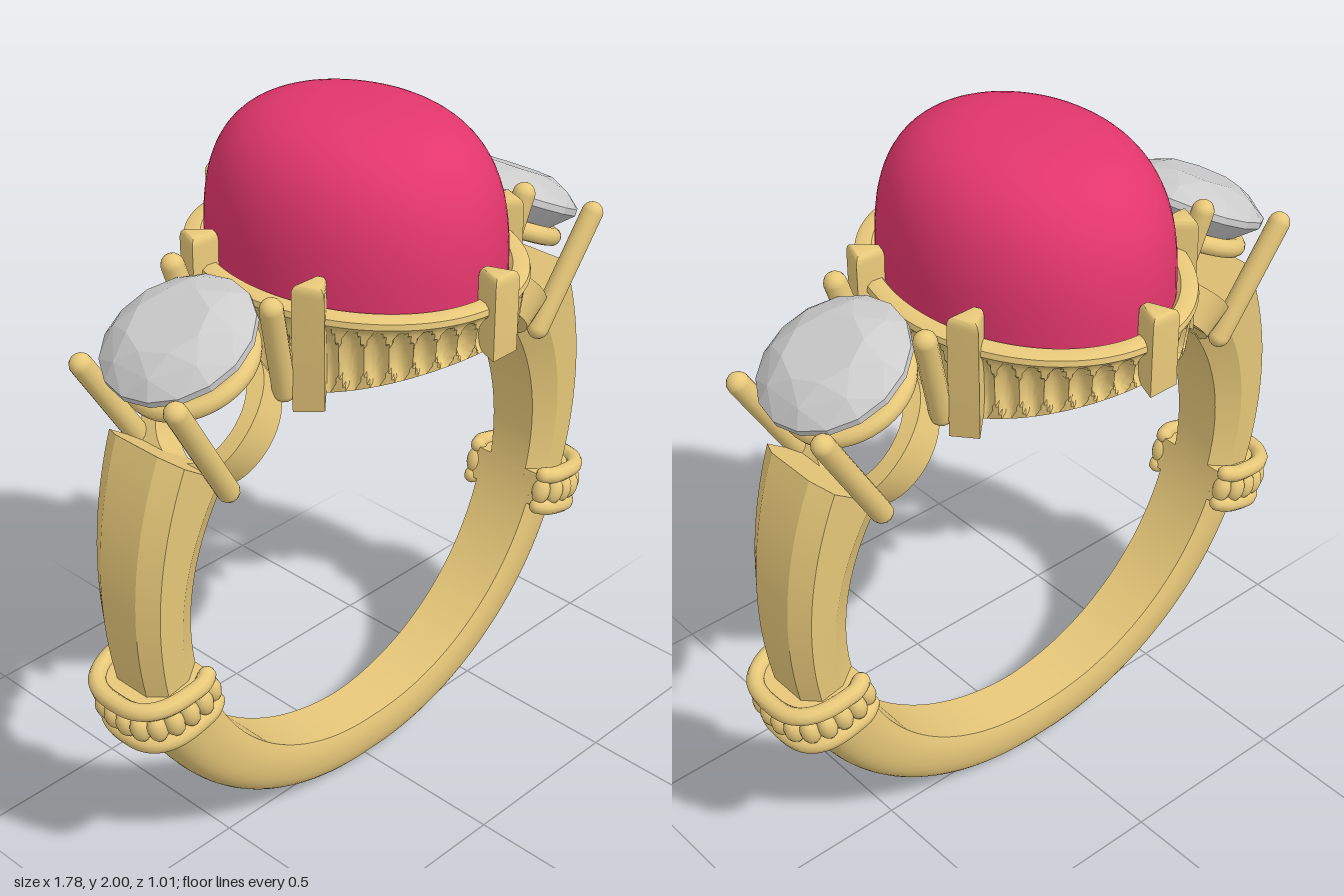
import * as THREE from 'three';
import { toCreasedNormals } from 'three/addons/utils/BufferGeometryUtils.js';
import { ConvexGeometry } from 'three/addons/geometries/ConvexGeometry.js';

const gold = new THREE.MeshStandardMaterial({ color: 0xe8c97a });
const pink = new THREE.MeshStandardMaterial({ color: 0xe2366c });
const grey = new THREE.MeshStandardMaterial({ color: 0xcccccc });
const V = (x, y, z) => new THREE.Vector3(x, y, z);
const rad = THREE.MathUtils.degToRad;

// Finger hole: radius FR around (0, CY), running along z
const CY = 0.82, FR = 0.665;
const polar = (r, deg, z) => V(r * Math.cos(rad(deg)), CY + r * Math.sin(rad(deg)), z);
const holeTop = x => CY + Math.sqrt(FR * FR - Math.min(x * x, 0.3));

function add(parent, name, geo, mat = gold) {
  const m = new THREE.Mesh(geo, mat);
  m.name = name;
  parent.add(m);
  return m;
}

// Skin a list of closed cross-sections, optionally capping both ends
function loft(rings, capped, crease) {
  const n = rings[0].length, pos = [], idx = [];
  rings.forEach(ring => ring.forEach(p => pos.push(p.x, p.y, p.z)));
  for (let i = 0; i < rings.length - 1; i++) {
    for (let j = 0; j < n; j++) {
      const k = (j + 1) % n, a = i * n + j, b = a + n, c = (i + 1) * n + k, d = i * n + k;
      idx.push(a, b, c, a, c, d);
    }
  }
  if (capped) {
    const e = (rings.length - 1) * n;
    for (let j = 1; j < n - 1; j++) idx.push(0, j, j + 1, e, e + j + 1, e + j);
  }
  const g = new THREE.BufferGeometry();
  g.setAttribute('position', new THREE.Float32BufferAttribute(pos, 3));
  g.setIndex(idx);
  return toCreasedNormals(g, crease);
}

// Sweep a changing [r, z] section around the finger hole
function sweep(section, a0, a1, steps, crease) {
  const rings = [];
  for (let i = 0; i <= steps; i++) {
    const t = i / steps;
    rings.push(section(t).map(([r, z]) => polar(r, a0 + (a1 - a0) * t, z)));
  }
  return loft(rings, true, crease);
}

// Rounded outer outline of a band section, from -z round to +z
function outline(hw, rOut, rIn = FR) {
  const pts = [[rIn, -hw * 0.9]];
  for (let k = 0; k <= 20; k++) {
    const f = (k / 20 - 0.5) * Math.PI, s = Math.sin(f);
    pts.push([rIn + 0.03 + (rOut - rIn - 0.03) * Math.pow(Math.max(0, Math.cos(f)), 0.7),
      hw * Math.sign(s) * Math.pow(Math.abs(s), 0.75)]);
  }
  pts.push([rIn, hw * 0.9]);
  return pts;
}

// Straight round-ended bar between two points
function bar(parent, name, a, b, r) {
  const m = add(parent, name, new THREE.CapsuleGeometry(r, a.distanceTo(b), 5, 12));
  m.position.copy(a).add(b).multiplyScalar(0.5);
  m.quaternion.setFromUnitVectors(V(0, 1, 0), b.clone().sub(a).normalize());
}

function faceted() {
  const pts = [];
  const ring = (n, r, y, turn = 0) => {
    for (let i = 0; i < n; i++) {
      const a = (i + turn) / n * Math.PI * 2;
      pts.push(V(r * Math.cos(a), y, r * Math.sin(a)));
    }
  };
  ring(8, 0.105, 0.066);
  ring(8, 0.16, 0.042, 0.5);
  ring(16, 0.2, 0.006);
  ring(16, 0.2, -0.012);
  ring(8, 0.12, -0.085, 0.5);
  ring(8, 0.02, -0.17);
  return new ConvexGeometry(pts);
}

// Beaded collar wrapping the outside of the band
function collar() {
  const g = new THREE.Group(), mid = -15.5;
  g.name = 'collar';
  add(g, 'collarCore', sweep(() => outline(0.14, 0.88), mid - 4.2, mid + 4.2, 4, 0.6));
  const path = a => new THREE.CatmullRomCurve3(outline(0.14, 0.885, 0.68).map(([r, z]) => polar(r, a, z)));
  for (const s of [-1, 1]) {
    const curve = path(mid + s * 4.1);
    add(g, 'collarRim', new THREE.TubeGeometry(curve, 60, 0.024, 10));
    for (const t of [0, 1]) {
      add(g, 'rimEnd', new THREE.SphereGeometry(0.024, 10, 8)).position.copy(curve.getPoint(t));
    }
  }
  for (const p of path(mid).getSpacedPoints(13)) {
    const bead = add(g, 'bead', new THREE.SphereGeometry(0.027, 12, 10));
    bead.position.copy(p);
    bead.scale.y = 1.55;
    bead.rotation.z = rad(mid);
  }
  return g;
}

// One shoulder: faceted shank, collar and side stone in its setting
function shoulder() {
  const g = new THREE.Group();
  add(g, 'shank', sweep(t => {
    const hw = 0.1 + 0.036 * t, R = 0.825 + 0.085 * t * t, c = FR + 0.055 + 0.02 * t;
    return [[FR, -hw * 0.65], [c, -hw], [R - 0.035, -hw], [R, -hw * 0.55],
      [R, hw * 0.55], [R - 0.035, hw], [c, hw], [FR, hw * 0.65]];
  }, -14, 35, 24, 0.3));
  g.add(collar());

  // Base ring, bent to follow the finger hole
  const base = new THREE.LatheGeometry(
    [[0.125, 0], [0.17, 0], [0.17, 0.1], [0.125, 0.1], [0.125, 0]].map(p => new THREE.Vector2(...p)), 48);
  const p = base.attributes.position;
  for (let i = 0; i < p.count; i++) {
    const v = polar(FR + 0.003 + p.getY(i), 45 - p.getX(i) / 0.67 * 180 / Math.PI, p.getZ(i));
    p.setXYZ(i, v.x, v.y, v.z);
  }
  add(g, 'settingBase', toCreasedNormals(base, 0.6));

  const head = new THREE.Group();
  head.name = 'sideStoneHead';
  head.position.set(0.6, 1.575, 0);
  head.rotation.z = rad(-26);
  add(head, 'sideStone', faceted(), grey);
  const gallery = add(head, 'galleryRing', new THREE.TorusGeometry(0.155, 0.025, 12, 48));
  gallery.rotation.x = Math.PI / 2;
  gallery.position.y = -0.085;
  g.add(head);

  for (const s of [-1, 1]) {
    bar(g, 'outerProng', V(0.585, 1.205, s * 0.14), V(0.762, 1.505, s * 0.168), 0.03);
    bar(g, 'innerProng', V(0.39, 1.405, s * 0.14), V(0.458, 1.66, s * 0.172), 0.03);
  }
  return g;
}

// Oval fluted wall, cut below by the finger hole
function basket() {
  const flutes = 44, per = 8, rows = 14, top = 1.585, rings = [];
  for (let i = 0; i <= flutes * per; i++) {
    const a = i / (flutes * per) * Math.PI * 2, c = Math.cos(a), s = Math.sin(a);
    const at = (off, y) => V((0.385 + off) * c, y, -(0.475 + off) * s);
    const yOut = holeTop(0.37 * c), yIn = holeTop(0.335 * c);
    const u = ((i % per) / per - 0.5) * 2.15;
    const ring = [at(-0.05, yIn), at(-0.02, yOut)];
    for (let k = 1; k < rows; k++) {
      const v = (k / rows - 0.5) * 2.1, t = k / rows;
      const dip = 0.03 * Math.sqrt(Math.max(0, 1 - u * u - v * v));
      ring.push(at(-0.02 + 0.015 * t - dip, yOut + (top - yOut) * t));
    }
    ring.push(at(-0.004, top), at(0.006, top + 0.012), at(0.003, top + 0.027), at(-0.012, top + 0.035),
      at(-0.04, top + 0.033), at(-0.05, top + 0.02));
    rings.push(ring);
  }
  return loft(rings, false, 0.6);
}

// Upright wedge claw, wide outside and pointed towards the stone
function claw(deg) {
  const c = Math.cos(rad(deg)), s = Math.sin(rad(deg));
  const shape = new THREE.Shape([[0.024, -0.029], [0.024, 0.029], [-0.035, 0.005], [-0.035, -0.005]]
    .reverse().map(q => new THREE.Vector2(...q)));
  const geo = new THREE.ExtrudeGeometry(shape,
    { depth: 0.2, bevelEnabled: true, bevelThickness: 0.025, bevelSize: 0.012, bevelSegments: 4 });
  geo.rotateX(-Math.PI / 2);
  geo.rotateY(Math.atan2(-s / 0.475, c / 0.385));
  geo.translate(0.382 * c, 1.475, 0.472 * s);
  const p = geo.attributes.position;
  for (let i = 0; i < p.count; i++) if (p.getY(i) < 1.55) p.setY(i, holeTop(p.getX(i)));
  return toCreasedNormals(geo, 0.6);
}

export function createModel() {
  const model = new THREE.Group();
  model.name = 'ring';

  // Plain lower band
  add(model, 'lowerBand', sweep(t => {
    const k = Math.abs(2 * t - 1);
    return outline(0.085 + 0.024 * k, 0.82 + 0.014 * k);
  }, -166, -14, 72, 0.6));

  // Both shoulders
  for (const [name, turn] of [['leftShoulder', 0], ['rightShoulder', Math.PI]]) {
    const g = shoulder();
    g.name = name;
    g.rotation.y = turn;
    model.add(g);
  }

  // Centre setting
  add(model, 'basket', basket());
  for (const d of [25, 90, 155, 205, 270, 335]) add(model, 'claw', claw(d));

  // Domed oval centre stone with a flat underside
  const profile = [new THREE.Vector2(0, 0), new THREE.Vector2(1, 0)];
  for (let i = 0; i <= 24; i++) {
    const f = i / 24 * Math.PI / 2;
    profile.push(new THREE.Vector2(Math.pow(Math.max(0, Math.cos(f)), 2 / 3), 0.42 * Math.pow(Math.sin(f), 2 / 3)));
  }
  profile[profile.length - 1].x = 0;
  const dome = new THREE.LatheGeometry(profile, 72);
  dome.scale(0.337, 1, 0.425);
  dome.translate(0, 1.58, 0);
  add(model, 'centreStone', toCreasedNormals(dome, 0.7), pink);
  return model;
}
